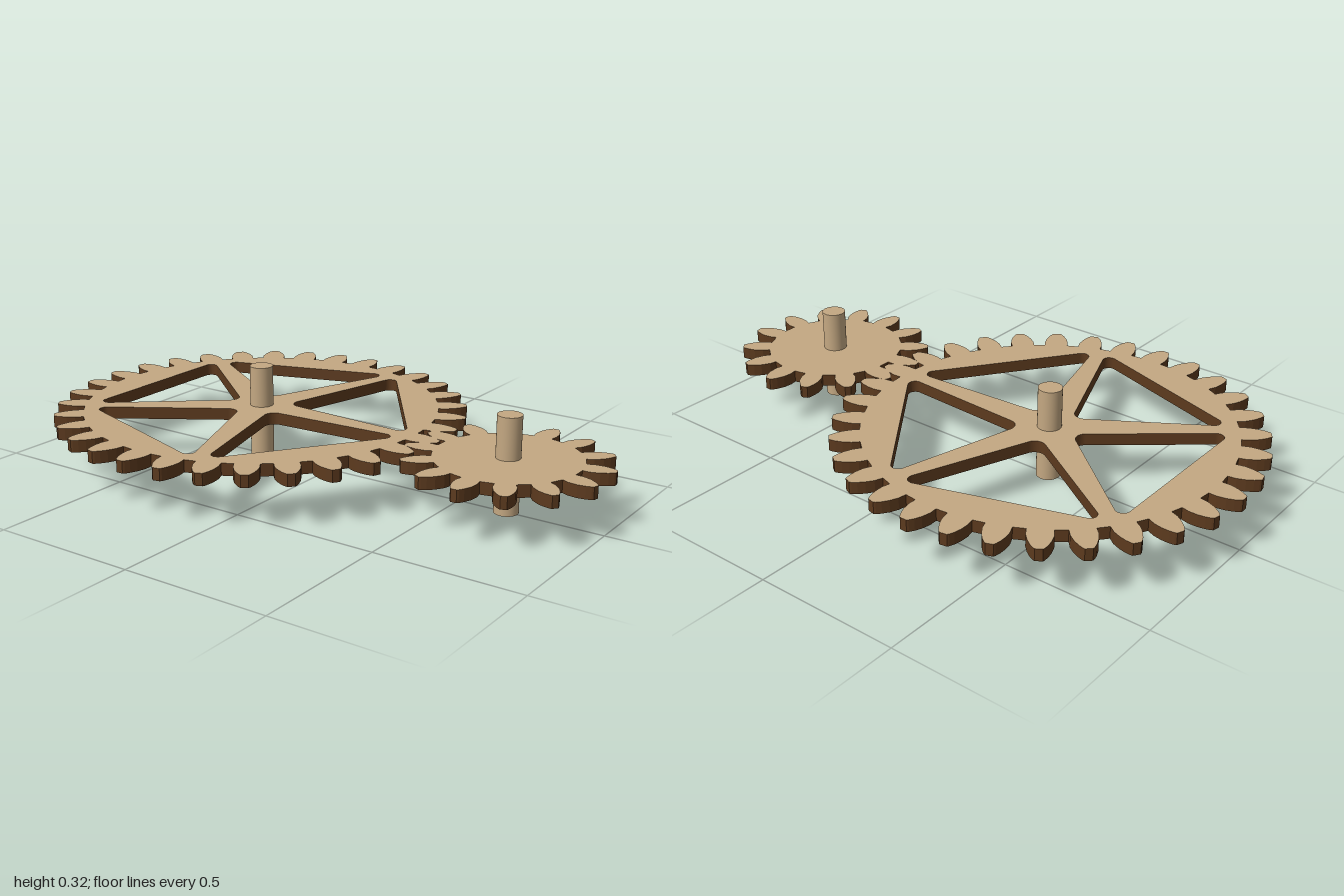
import * as THREE from 'three';

const wood = new THREE.MeshStandardMaterial({ color: 0xc4a882 });
wood.name = 'light wood';
const burnt = new THREE.MeshStandardMaterial({ color: 0x5c3a1e });
burnt.name = 'burnt cut edge';

const BOTTOM = 0.14, THICK = 0.041, PIN_R = 0.04, PIN_H = 0.32;

// Gear outline: one tooth centred on every step; flank is [radius, half width] from root to tip
function gearShape(teeth, startAngle, flank) {
  const pts = [];
  for (let i = 0; i < teeth; i++) {
    const a = startAngle + (i / teeth) * Math.PI * 2;
    const add = ([r, w], side) => {
      const along = Math.sqrt(r * r - w * w);
      pts.push(new THREE.Vector2(
        along * Math.cos(a) - side * w * Math.sin(a),
        along * Math.sin(a) + side * w * Math.cos(a)));
    };
    flank.forEach(p => add(p, -1));
    [...flank].reverse().forEach(p => add(p, 1));
  }
  return new THREE.Shape(pts);
}

// Rounded triangular opening pointing at the hub, with its axis at angle a
function pocket(a) {
  const apex = 0.09, outer = 0.485, half = 0.323, rApex = 0.035, rOut = 0.024;
  const slope = Math.atan2(half, outer - apex);
  const corner = Math.PI / 2 - slope;
  const cu = outer - rOut, cv = half - rOut / Math.tan(corner / 2);
  const path = new THREE.Path();
  const arc = (u, v, r, from, to) => path.absarc(
    u * Math.cos(a) - v * Math.sin(a), u * Math.sin(a) + v * Math.cos(a),
    r, a + from, a + to, false);
  const n = slope + Math.PI / 2; // normal direction of the upper slanted side
  arc(cu, -cv, rOut, -n, 0);
  arc(cu, cv, rOut, 0, n);
  arc(apex + rApex / Math.sin(slope), 0, rApex, n, Math.PI * 2 - n);
  path.closePath();
  return path;
}

// Flat gear plate with dark cut edges, plus its axle pin
function makeGear(name, x, shape) {
  const gear = new THREE.Group();
  gear.name = name;
  const geo = new THREE.ExtrudeGeometry(shape, { depth: THICK, bevelEnabled: false, curveSegments: 8 });
  geo.rotateX(-Math.PI / 2);
  const plate = new THREE.Mesh(geo, [wood, burnt]);
  plate.name = name + 'Plate';
  plate.position.y = BOTTOM;
  const pin = new THREE.Mesh(new THREE.CylinderGeometry(PIN_R, PIN_R, PIN_H, 32), wood);
  pin.name = name + 'Axle';
  pin.position.y = PIN_H / 2;
  gear.add(plate, pin);
  gear.position.x = x;
  return gear;
}

export function createModel() {
  const model = new THREE.Group();
  model.name = 'gearPair';

  // Large spoked wheel
  const large = gearShape(32, 0, [
    [0.612, 0.04], [0.64, 0.041], [0.668, 0.035], [0.69, 0.026], [0.705, 0.017], [0.71, 0.012]]);
  for (let i = 0; i < 5; i++) large.holes.push(pocket((36 + 72 * i) * Math.PI / 180));
  model.add(makeGear('largeGear', -0.29, large));

  // Small solid pinion
  const small = gearShape(14, Math.PI / 2, [
    [0.238, 0.031], [0.262, 0.036], [0.292, 0.033], [0.315, 0.024], [0.33, 0.015], [0.335, 0.01]]);
  model.add(makeGear('smallGear', 0.67, small));

  return model;
}
